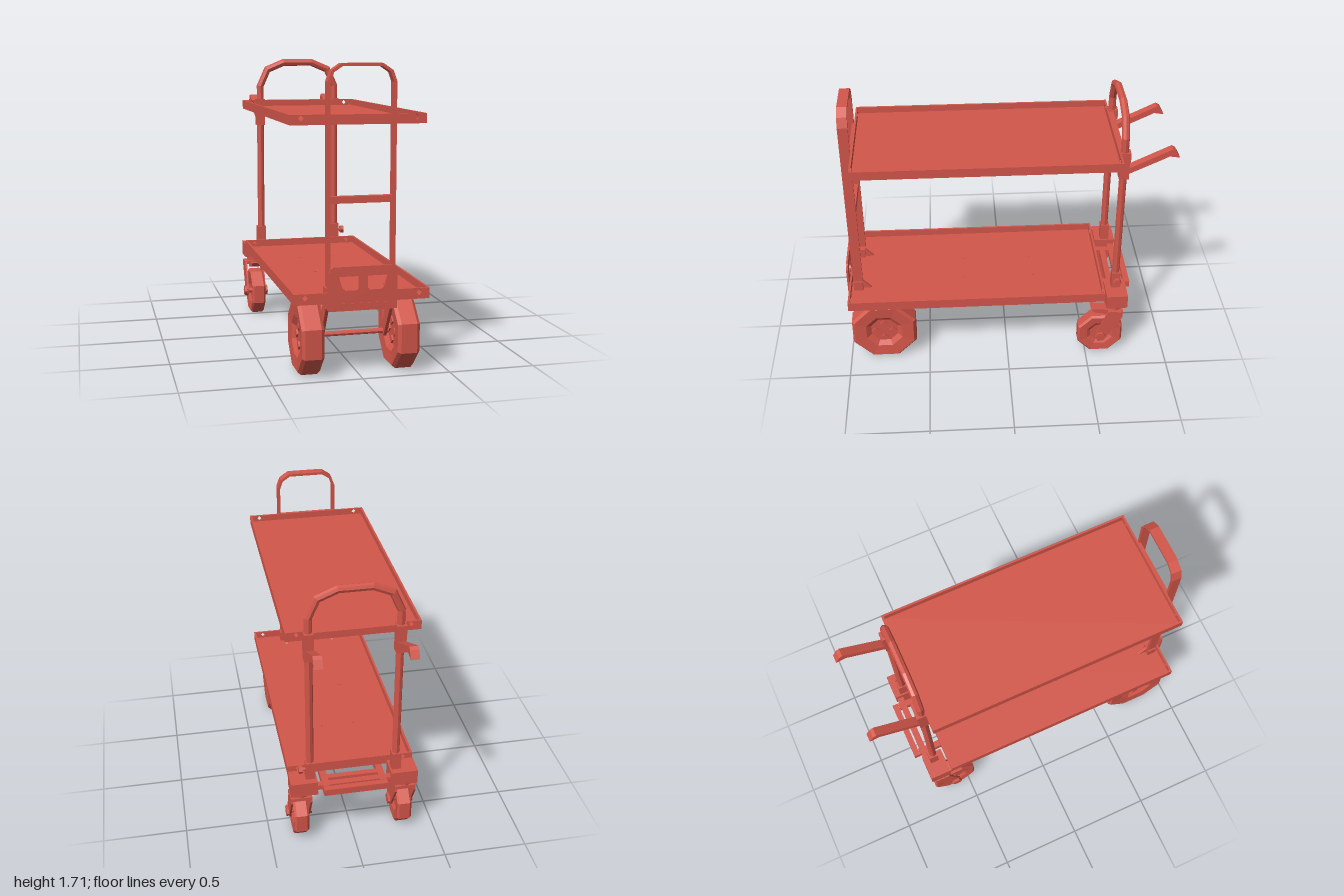
import * as THREE from 'three';

const red = new THREE.MeshStandardMaterial({ color: 0xd3564a });
red.name = 'red paint';

export function createModel() {
  const root = new THREE.Group();
  root.name = 'utilityCart';

  // Adds a facetted mesh
  function add(name, geo, x = 0, y = 0, z = 0, parent = root) {
    const flat = geo.index ? geo.toNonIndexed() : geo;
    flat.computeVertexNormals();
    const mesh = new THREE.Mesh(flat, red);
    mesh.name = name;
    mesh.position.set(x, y, z);
    parent.add(mesh);
    return mesh;
  }
  // Box given by its limits
  const box = (name, x0, x1, y0, y1, z0, z1) =>
    add(name, new THREE.BoxGeometry(Math.abs(x1 - x0), y1 - y0, z1 - z0), (x0 + x1) / 2, (y0 + y1) / 2, (z0 + z1) / 2);
  const shapeOf = pts => new THREE.Shape(pts.map(p => new THREE.Vector2(...p)));
  const extrude = (shape, depth) =>
    new THREE.ExtrudeGeometry(shape, { depth, bevelEnabled: false }).translate(0, 0, -depth / 2);
  // Plate with a (z, y) outline, centred on x
  const sidePlate = (name, pts, width, x) => add(name, extrude(shapeOf(pts), width).rotateY(-Math.PI / 2), x);
  // Cylinder lying along x
  const rod = (name, r, length, sides, x, y, z) =>
    add(name, new THREE.CylinderGeometry(r, r, length, sides).rotateZ(Math.PI / 2), x, y, z);

  // Sweeps a cross-section along a mitred path in the xy plane
  function sweep(path, section) {
    const pos = [], idx = [], n = section.length, last = path.length - 1;
    const pts = path.map(p => new THREE.Vector2(...p));
    const normal = i => {
      const d = pts[i + 1].clone().sub(pts[i]).normalize();
      return new THREE.Vector2(-d.y, d.x);
    };
    pts.forEach((p, i) => {
      const a = normal(Math.max(i - 1, 0)), b = normal(Math.min(i, last - 1));
      const m = a.clone().add(b).normalize();
      m.divideScalar(m.dot(a));
      for (const [u, w] of section) pos.push(p.x + m.x * u, p.y + m.y * u, w);
    });
    for (let i = 0; i < last; i++) for (let j = 0; j < n; j++) {
      const k = (j + 1) % n, a = i * n + j, b = i * n + k;
      idx.push(a, b, b + n, a, b + n, a + n);
    }
    for (let j = 1; j < n - 1; j++) idx.push(0, j + 1, j, last * n, last * n + j, last * n + j + 1);
    const g = new THREE.BufferGeometry();
    g.setAttribute('position', new THREE.Float32BufferAttribute(pos, 3));
    g.setIndex(idx);
    return g;
  }
  const hoopPath = half => [...half, ...half.map(([x, y]) => [-x, y]).reverse()];

  // Shallow tray with holes in its end walls
  function tray(name, y0, y1, z0, z1, holeY) {
    box(name + 'Deck', -0.375, 0.375, y0, y0 + 0.016, z0 + 0.005, z1 - 0.005);
    for (const s of [-1, 1]) box(name + 'SideWall', s * 0.368, s * 0.38, y0, y1, z0, z1);
    for (const z of [z0 + 0.006, z1 - 0.006]) {
      const wall = shapeOf([[-0.37, y0], [0.37, y0], [0.37, y1], [-0.37, y1]]);
      for (const x of [-0.32, 0.32])
        wall.holes.push(new THREE.Path([[x - 0.016, holeY], [x, holeY - 0.016], [x + 0.016, holeY], [x, holeY + 0.016]]
          .map(p => new THREE.Vector2(...p))));
      add(name + 'EndWall', extrude(wall, 0.012), 0, 0, z);
    }
  }
  tray('lowerTray', 0.43, 0.49, -0.605, 0.985, 0.467);
  tray('upperTray', 1.382, 1.437, -0.66, 0.9, 1.418);

  // Frame beneath the lower tray
  for (const s of [-1, 1]) box('frameRail', s * 0.15, s * 0.19, 0.388, 0.43, -0.75, 0.985);
  for (const z of [-0.77, -0.66, -0.17, 0.27, 0.965]) box('frameCrossBar', -0.19, 0.19, 0.388, 0.43, z - 0.018, z + 0.018);
  for (const x of [-0.1, 0.1]) for (const z of [-0.17, 0.27])
    add('deckBolt', new THREE.CylinderGeometry(0.012, 0.012, 0.07, 6), x, 0.414, z);
  box('rearCrossMember', -0.25, 0.25, 0.4, 0.43, -0.74, -0.7);

  // Front hoop, its cross bars and feet
  const strap = [[-0.008, -0.03], [0.008, -0.03], [0.008, 0.03], [-0.008, 0.03]];
  add('frontHoop', sweep(hoopPath([[0.182, 0.49], [0.182, 1.61], [0.162, 1.665], [0.11, 1.7]]), strap), 0, 0, 0.93);
  box('frontHoopRung', -0.175, 0.175, 0.965, 1.002, 0.91, 0.95);
  box('frontTrayMount', -0.175, 0.175, 1.395, 1.437, 0.9, 0.912);
  for (const s of [-1, 1]) {
    box('hoopFoot', s * 0.14, s * 0.2, 0.44, 0.51, 0.902, 0.958);
    sidePlate('hoopGusset', [[0.85, 0.446], [0.91, 0.446], [0.91, 0.51]], 0.016, s * 0.165);
  }

  // Front panel with two grip openings
  const panel = shapeOf([[-0.19, 0.388], [0.19, 0.388], [0.19, 0.6], [0.182, 0.62], [0.165, 0.63],
    [-0.165, 0.63], [-0.182, 0.62], [-0.19, 0.6]]);
  for (const s of [-1, 1]) panel.holes.push(new THREE.Path(
    [[0.025, 0.577], [0.135, 0.577], [0.118, 0.515], [0.098, 0.5], [0.036, 0.5], [0.025, 0.512]]
      .map(([x, y]) => new THREE.Vector2(s * x, y))));
  add('frontPanel', extrude(panel, 0.012), 0, 0, 0.991);
  box('frontPanelStrip', -0.14, 0.14, 0.408, 0.43, 0.994, 1.0);

  // Rear tube hoop
  const tube = Array.from({ length: 8 }, (_, i) => [0.023 * Math.cos(i * Math.PI / 4), 0.023 * Math.sin(i * Math.PI / 4)]);
  add('rearHoop', sweep(hoopPath([[0.257, 0.45], [0.257, 1.53], [0.207, 1.641], [0.095, 1.688]]), tube), 0, 0, -0.68);
  box('rearTrayMount', -0.23, 0.23, 1.395, 1.437, -0.685, -0.66);

  // Wheel turned from a symmetric half profile of [radius, offset]
  function wheel(name, half, x, y, z) {
    const pts = [...half.map(([r, a]) => [r, -a]), ...half.slice().reverse()].map(p => new THREE.Vector2(...p));
    add(name, new THREE.LatheGeometry(pts, 8, Math.PI / 8).rotateZ(-Math.PI / 2), x, y, z);
  }

  for (const s of [-1, 1]) {
    // Rear post sleeves and handles
    box('upperSleeve', s * 0.23, s * 0.285, 1.27, 1.382, -0.71, -0.652);
    box('trayClamp', s * 0.23, s * 0.285, 1.382, 1.443, -0.715, -0.655);
    box('lowerSleeve', s * 0.23, s * 0.285, 0.45, 0.573, -0.71, -0.655);
    sidePlate('pushHandle', [[-0.7, 1.3], [-0.9, 1.395], [-0.94, 1.415], [-1.0, 1.405], [-0.975, 1.45],
      [-0.955, 1.462], [-0.7, 1.338]], 0.05, s * 0.256);

    // Front wheels with hub bolts and axle brackets
    wheel('frontWheel', [[0, 0.035], [0.09, 0.035], [0.122, 0.057], [0.2, 0.063], [0.216, 0.045]], s * 0.27, 0.205, 0.78);
    for (const [dy, dz] of [[0.055, 0], [-0.055, 0], [0, 0.055], [0, -0.055]])
      rod('hubBolt', 0.024, 0.09, 4, s * 0.27, 0.205 + dy, 0.78 + dz);
    sidePlate('axleBracket', [[0.93, 0.39], [0.8, 0.18], [0.76, 0.18], [0.7, 0.39], [0.75, 0.39], [0.78, 0.26],
      [0.85, 0.39]], 0.018, s * 0.183);

    // Swivel casters
    const cx = s * 0.315;
    box('casterMount', s * 0.22, s * 0.38, 0.372, 0.462, -0.748, -0.617);
    add('casterSwivel', new THREE.CylinderGeometry(0.045, 0.045, 0.05, 8), cx, 0.352, -0.68);
    box('forkCrown', cx - 0.062, cx + 0.062, 0.318, 0.338, -0.725, -0.63);
    for (const t of [-1, 1]) sidePlate('casterFork', [[-0.63, 0.335], [-0.72, 0.335], [-0.725, 0.3], [-0.625, 0.125],
      [-0.595, 0.108], [-0.562, 0.128], [-0.56, 0.16]], 0.012, cx + t * 0.058);
    wheel('casterWheel', [[0, 0.025], [0.065, 0.025], [0.088, 0.038], [0.14, 0.044], [0.152, 0.032]], cx, 0.145, -0.59);
    rod('casterAxle', 0.016, 0.14, 8, cx, 0.145, -0.59);
    for (const t of [-1, 1]) rod('axleNut', 0.034, 0.014, 6, cx + t * 0.071, 0.145, -0.59);
    sidePlate('brakePedal', [[-0.525, 0.345], [-0.545, 0.318], [-0.64, 0.298], [-0.67, 0.32], [-0.63, 0.335]], 0.07, cx);
  }
  rod('frontAxle', 0.015, 0.42, 8, 0, 0.205, 0.78);

  // Clamp knob on the left rear post
  rod('knobStem', 0.01, 0.04, 6, 0.295, 0.525, -0.685);
  rod('clampKnob', 0.026, 0.022, 6, 0.314, 0.525, -0.685);

  return root;
}
